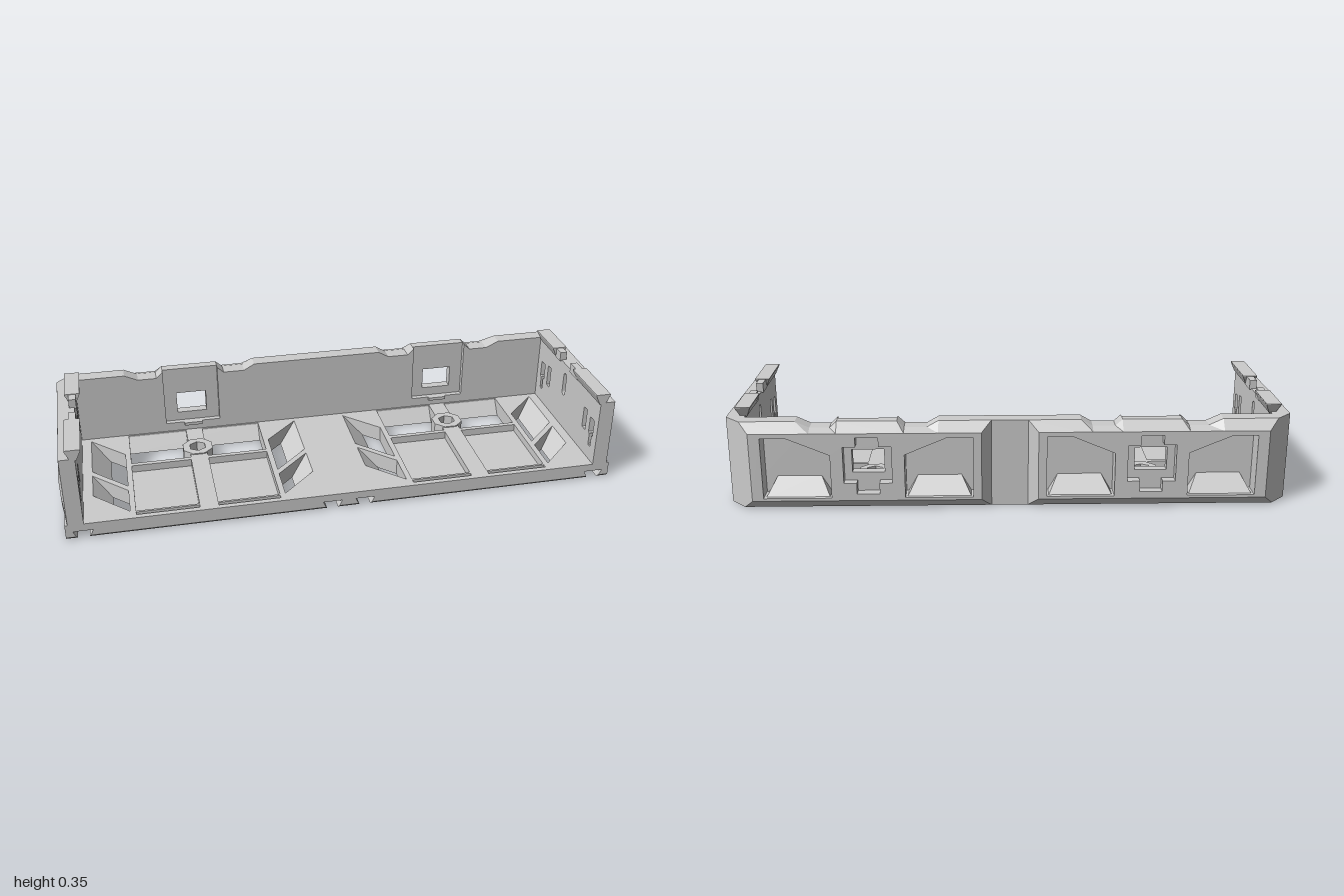
import * as THREE from 'three';

const material = new THREE.MeshStandardMaterial({ color: 0xcccccc, flatShading: true });
const SIDES = [1, -1];

// Extrude a closed outline with holes; the outline is made counter-clockwise
// so that the hole walls always face into the holes
function extrude(points, holes, depth) {
  const toVectors = (list) => list.map(([u, v]) => new THREE.Vector2(u, v));
  const outline = toVectors(points);
  if (THREE.ShapeUtils.isClockWise(outline)) outline.reverse();
  const shape = new THREE.Shape(outline);
  for (const h of holes) shape.holes.push(new THREE.Path(toVectors(h)));
  return new THREE.ExtrudeGeometry(shape, { depth, bevelEnabled: false });
}
// Outline in (x, y), running along z
const alongZ = (pts, z0, z1, holes = []) => extrude(pts, holes, z1 - z0).translate(0, 0, z0);
// Outline in (x, z), running along y
function alongY(pts, y0, y1, holes = []) {
  const flip = (list) => list.map(([x, z]) => [x, -z]);
  return extrude(flip(pts), holes.map(flip), y1 - y0).rotateX(-Math.PI / 2).translate(0, y0, 0);
}
// Outline in (z, y), running along x
function alongX(pts, x0, x1, holes = []) {
  const flip = (list) => list.map(([z, y]) => [-z, y]);
  return extrude(flip(pts), holes.map(flip), x1 - x0).rotateY(Math.PI / 2).translate(x0, 0, 0);
}
// Move every vertex by a rule, then rebuild the normals
function reshape(geometry, rule) {
  const p = geometry.attributes.position;
  const v = new THREE.Vector3();
  for (let i = 0; i < p.count; i++) {
    rule(v.fromBufferAttribute(p, i));
    p.setXYZ(i, v.x, v.y, v.z);
  }
  geometry.computeVertexNormals();
  return geometry;
}
const rect = (a0, a1, b0, b1) => [[a0, b0], [a1, b0], [a1, b1], [a0, b1]];
const mirror = (pts, s) => pts.map(([x, y]) => [s * x, y]);
const ngon = (n, r, cx, cz, turn) => Array.from({ length: n }, (_, i) => {
  const a = (i / n) * Math.PI * 2 + turn;
  return [cx + r * Math.cos(a), cz + r * Math.sin(a)];
});
// Upright slot with round ends
const roundSlot = (z, y0, y1, r) => Array.from({ length: 18 }, (_, i) => {
  const top = i <= 8;
  const a = ((top ? i : i - 1) / 8) * Math.PI;
  return [z + r * Math.cos(a), (top ? y1 - r : y0 + r) + r * Math.sin(a)];
});

export function createModel() {
  const model = new THREE.Group();
  const add = (name, geometry) => {
    const mesh = new THREE.Mesh(geometry, material);
    mesh.name = name;
    model.add(mesh);
  };

  // ---- Floor openings, in both bays and on both sides of each bay
  const through = [];
  const recesses = [];
  for (const s of SIDES) {
    through.push(rect(s * 0.245, s * 0.755, -0.24, -0.03));
    for (const m of SIDES) {
      const bx = (x) => s * (0.5 + m * (x - 0.5));
      recesses.push(rect(bx(0.245), bx(0.467), -0.012, 0.292));
      through.push(rect(bx(0.245), bx(0.467), 0.3, 0.315));
      for (const [z0, z1] of [[-0.225, 0], [0.03, 0.165]]) {
        through.push([[bx(0.1), z0], [bx(0.225), z0 + 0.125], [bx(0.225), z1 + 0.125], [bx(0.1), z1]]);
        // sheared wedge giving each slanted opening a sloping side
        const wedge = alongZ([[bx(0.1), 0.06], [bx(0.1), 0], [bx(0.168), 0]], z0, z1);
        add('openingSlope', reshape(wedge, (v) => { v.z += Math.abs(v.x - bx(0.1)); }));
      }
    }
  }

  // ---- Floor: lower layers with dovetail grooves, upper layer with recesses
  const grooves = [0.06, 0.94];
  const frontHalf = [];
  for (const c of grooves) {
    frontHalf.push([c - 0.035, 0.335], [c - 0.035, -0.2], [c + 0.035, -0.2], [c + 0.035, 0.335]);
  }
  frontHalf.push([1, 0.335], [1, -0.245]);
  const lowerOutline = [...frontHalf, ...mirror(frontHalf, -1).reverse()];
  for (const [y0, y1] of [[0, 0.01], [0.01, 0.032]]) {
    add('floorBase', reshape(alongY(lowerOutline, y0, y1, through), (v) => {
      v.z = Math.min(v.z, 0.325 + v.y);
      const ax = Math.abs(v.x);
      const c = grooves.find((g) => Math.abs(Math.abs(ax - g) - 0.035) < 0.002);
      if (c) v.x = Math.sign(v.x) * (c + Math.sign(ax - c) * (0.02 + 0.47 * v.y));
    }));
  }
  add('floorTop', alongY(rect(-1, 1, -0.245, 0.335), 0.032, 0.06, [...through, ...recesses]));

  // ---- Hexagonal bolt bosses and webs across the rear floor windows
  for (const s of SIDES) {
    const x = s * 0.5;
    add('boltBoss', alongY(ngon(8, 0.06, x, -0.1, Math.PI / 8), 0, 0.064,
      [ngon(6, 0.033, x, -0.1, Math.PI / 6)]));
    add('bossWeb', alongY(rect(x - 0.032, x + 0.032, -0.245, -0.15), 0, 0.06));
    add('bossWebFront', alongY(rect(x - 0.032, x + 0.032, -0.05, -0.025), 0, 0.06));
    add('windowRamp', alongX([[-0.245, 0.06], [-0.245, 0], [-0.2, 0]], x - 0.255, x + 0.255));
    add('latchLip', alongZ(rect(x - 0.035, x + 0.035, 0.083, 0.095), -0.25, -0.235));
  }

  // ---- Back wall: inner plate, middle layer and chamfered outer panels
  const topEdge = [[0.25, 0.32], [0.29, 0.297], [0.37, 0.297], [0.395, 0.32]];
  const topEnd = [[0.605, 0.32], [0.63, 0.297], [0.7, 0.297], [0.75, 0.32], [1, 0.32], [1, 0]];
  const both = (half) => [...half, ...mirror(half, -1).reverse()];
  const half = [...topEdge, ...topEnd];
  const notched = [...topEdge, [0.395, 0.095], [0.605, 0.095], ...topEnd];
  const window = rect(0.443, 0.557, 0.13, 0.215);
  // stepped recess around the window on the outer face
  const latchCut = [[0.46, 0.06], [0.54, 0.06], [0.54, 0.1], [0.585, 0.1], [0.585, 0.235],
    [0.54, 0.235], [0.54, 0.27], [0.46, 0.27], [0.46, 0.235], [0.415, 0.235], [0.415, 0.1], [0.46, 0.1]];
  const pocket = [[0.63, 0.045], [0.87, 0.045], [0.87, 0.268], [0.78, 0.268], [0.63, 0.205]];
  const pockets = [pocket, pocket.map(([x, y]) => [1 - x, y])];
  const chamfer = (v) => {
    const limit = 1 + Math.min(0, v.z + 0.245);
    const cut = Math.max(0, -0.3 - v.z);
    v.x = THREE.MathUtils.clamp(v.x, -limit, limit);
    v.y = THREE.MathUtils.clamp(v.y, cut, 0.32 - cut);
    if (Math.abs(Math.abs(v.x) - 0.065) < 0.001) v.x += Math.sign(v.x) * cut;
  };
  const midHoles = SIDES.flatMap((s) => [window, ...pockets].map((h) => mirror(h, s)));
  add('backInnerPlate', reshape(alongZ(both(notched), -0.265, -0.245), chamfer));
  add('backMiddle', reshape(alongZ(both(half), -0.3, -0.265, midHoles), chamfer));
  for (const s of SIDES) {
    const panel = mirror([[0.065, 0.32], ...half, [0.065, 0]], s);
    const holes = [latchCut, ...pockets].map((h) => mirror(h, s));
    add('backOuterPanel', reshape(alongZ(panel, -0.335, -0.3, holes), chamfer));
    // sloped block with mitred ends in the bottom of each pocket
    for (const x of [s * 0.25, s * 0.75]) {
      const wedge = alongX([[-0.26, 0.11], [-0.26, 0.04], [-0.325, 0.04]], x - 0.115, x + 0.115);
      add('pocketWedge', reshape(wedge, (v) => { if (v.y > 0.09) v.x -= Math.sign(v.x - x) * 0.04; }));
    }
  }

  // ---- Side walls with keyhole slots, shallow clip recesses and top rails
  const keyhole = (z) => [[z - 0.009, 0.117], [z - 0.005, 0.113], [z + 0.005, 0.113], [z + 0.009, 0.117],
    [z + 0.009, 0.16], [z + 0.013, 0.16], [z + 0.0175, 0.165], [z + 0.0175, 0.225], [z + 0.014, 0.228],
    [z - 0.014, 0.228], [z - 0.0175, 0.225], [z - 0.0175, 0.165], [z - 0.013, 0.16], [z - 0.009, 0.16]];
  const clips = [0.223, -0.13];
  const wallHoles = [keyhole(0.285), keyhole(-0.193), roundSlot(0.018, 0.19, 0.283, 0.0125),
    ...clips.map((z) => rect(z - 0.014, z + 0.014, 0.155, 0.24))];
  // back of a clip recess, with two overhanging catches
  const clipProfile = [[0.95, 0.24], [0.997, 0.24], [0.965, 0.233], [0.965, 0.19], [0.98, 0.185],
    [0.997, 0.185], [0.965, 0.178], [0.965, 0.16], [0.985, 0.155], [0.95, 0.155]];
  const railProfile = [[0.93, 0.315], [0.952, 0.315], [0.968, 0.35], [0.968, 0.354],
    [0.914, 0.354], [0.914, 0.35]];
  for (const s of SIDES) {
    const span = (a, b) => (s > 0 ? [a, b] : [-b, -a]);
    const wall = alongX(rect(-0.245, 0.335, 0.06, 0.32), ...span(0.935, 1), wallHoles);
    add('sideWall', reshape(wall, (v) => {
      if (v.z > 0.33) v.x = THREE.MathUtils.clamp(v.x, -0.99, 0.99);
    }));
    for (const z of clips) add('clipRecess', alongZ(mirror(clipProfile, s), z - 0.014, z + 0.014));
    // rails with undercut rear ends
    for (const [name, z0, z1] of [['frontRail', 0.118, 0.335], ['rearRail', -0.243, -0.07]]) {
      add(name, reshape(alongZ(mirror(railProfile, s), z0, z1), (v) => {
        if (v.y < 0.32 && v.z < z0 + 0.001) v.z += 0.018;
      }));
    }
    add('frontRailStop', alongX(rect(0.065, 0.136, 0.315, 0.352), ...span(0.928, 0.954)));
    add('rearRailStop', alongX(rect(-0.075, -0.03, 0.315, 0.352), ...span(0.928, 0.954)));
  }
  return model;
}
